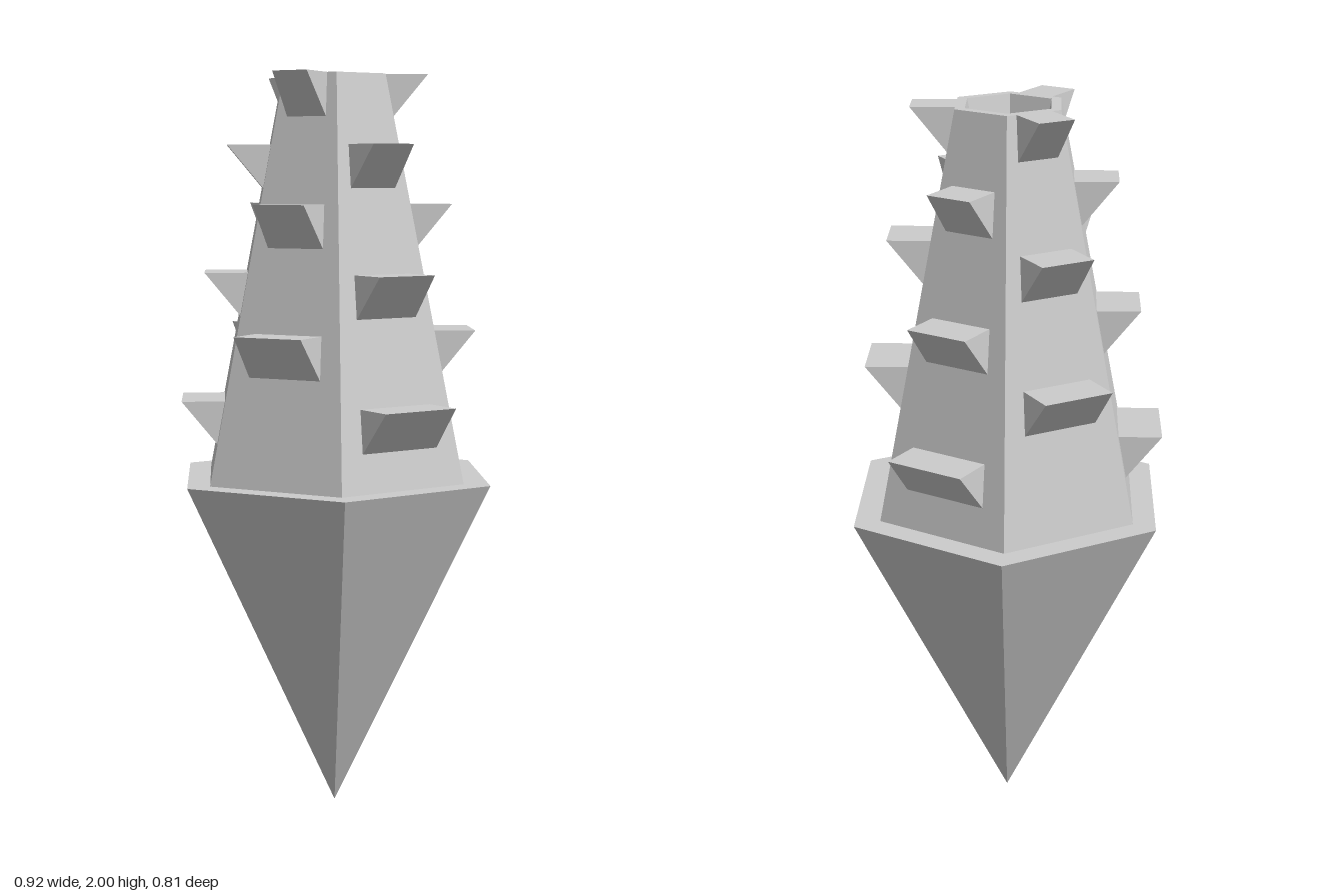
import * as THREE from 'three';

const RIM_Y = 0.925, TOP_Y = 2, BASE_R = 0.387, TOP_R = 0.154;
const material = new THREE.MeshStandardMaterial({ color: 0xcccccc, flatShading: true });

// Six-sided solid from a radius/height profile, with a flat side facing +z
function hexSolid(name, profile) {
  const points = profile.map(([r, y]) => new THREE.Vector2(r, y));
  const mesh = new THREE.Mesh(new THREE.LatheGeometry(points, 6, Math.PI / 6), material);
  mesh.name = name;
  return mesh;
}

// Distance from the axis to the flat side of the tapering shaft
function shaftFace(y) {
  const t = (y - RIM_Y) / (TOP_Y - RIM_Y);
  return THREE.MathUtils.lerp(BASE_R, TOP_R, t) * Math.cos(Math.PI / 6);
}

// Wedge with a level top and an underside sloping back to the shaft
function barbGeometry(top) {
  const height = 0.115, reach = 0.115;
  const w = 0.11 - 0.07 * (top - 1.14);
  const bottom = top - height;
  const section = [
    [w, top, shaftFace(top) - 0.002],
    [w, top, shaftFace(top) + reach],
    [w + 0.007, bottom, shaftFace(bottom) - 0.002],
  ];
  const positions = [];
  for (const side of [-1, 1]) {
    for (const [x, y, z] of section) positions.push(side * x, y, z);
  }
  const geometry = new THREE.BufferGeometry();
  geometry.setAttribute('position', new THREE.Float32BufferAttribute(positions, 3));
  const index = [0, 2, 1, 3, 4, 5];
  for (let i = 0; i < 3; i++) {
    const j = (i + 1) % 3;
    index.push(i, j, j + 3, i, j + 3, i + 3);
  }
  geometry.setIndex(index);
  geometry.computeVertexNormals();
  return geometry;
}

export function createModel() {
  const group = new THREE.Group();
  group.name = 'barbedSpike';

  // Pointed head with a flat ledge around the shaft
  const head = hexSolid('pointedHead', [[0, 0], [0.46, RIM_Y], [0, RIM_Y]]);
  head.position.z = -0.007;
  group.add(head);

  // Tapered shaft with a conical socket sunk into its end
  const body = new THREE.Group();
  body.name = 'barbedShaft';
  body.position.set(-0.004, 0, -0.007);
  body.add(hexSolid('shaft', [[BASE_R, RIM_Y], [TOP_R, TOP_Y], [0.125, TOP_Y], [0, 1.45]]));

  // Three barbs on each side, staggered between neighbouring sides
  const rows = [[1.14, 1.48, 1.815], [1.325, 1.66, 2.0]];
  for (let side = 0; side < 6; side++) {
    for (const top of rows[side % 2]) {
      const barb = new THREE.Mesh(barbGeometry(top), material);
      barb.name = 'barb';
      barb.rotation.y = side * Math.PI / 3;
      body.add(barb);
    }
  }
  group.add(body);
  return group;
}
